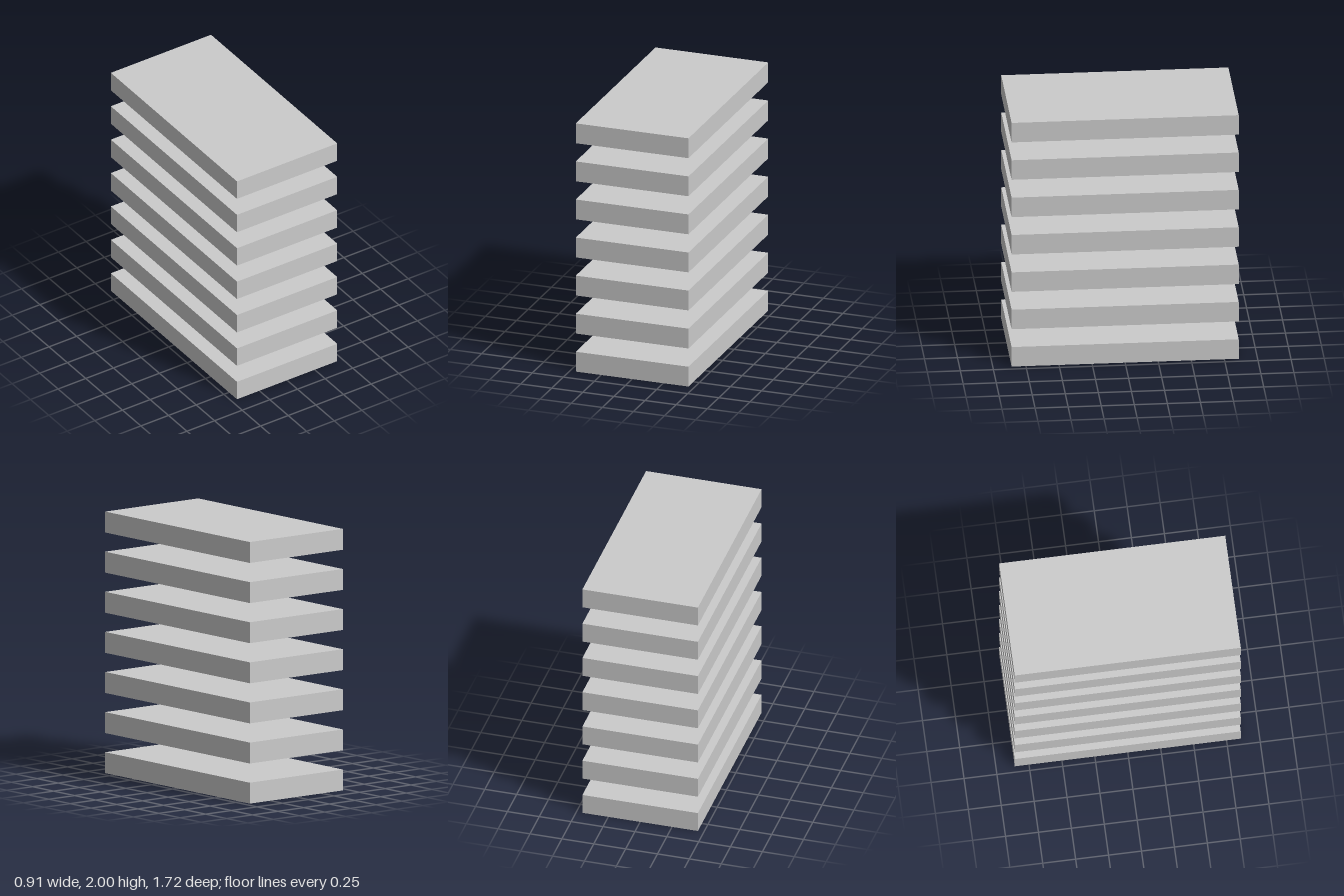
import * as THREE from 'three';

const COUNT = 7;
const WIDTH = 0.906;
const THICKNESS = 0.16;
const DEPTH = 1.717;
const HEIGHT = 2;

export function createModel() {
  const model = new THREE.Group();
  model.name = 'slabStack';

  const material = new THREE.MeshStandardMaterial({ color: 0xcccccc, flatShading: true });
  const geometry = new THREE.BoxGeometry(WIDTH, THICKNESS, DEPTH);
  const pitch = (HEIGHT - THICKNESS) / (COUNT - 1);

  // Evenly spaced floating slabs, from the ground up
  for (let i = 0; i < COUNT; i++) {
    const slab = new THREE.Mesh(geometry, material);
    slab.name = `slab${i + 1}`;
    slab.position.y = THICKNESS / 2 + i * pitch;
    model.add(slab);
  }
  return model;
}
